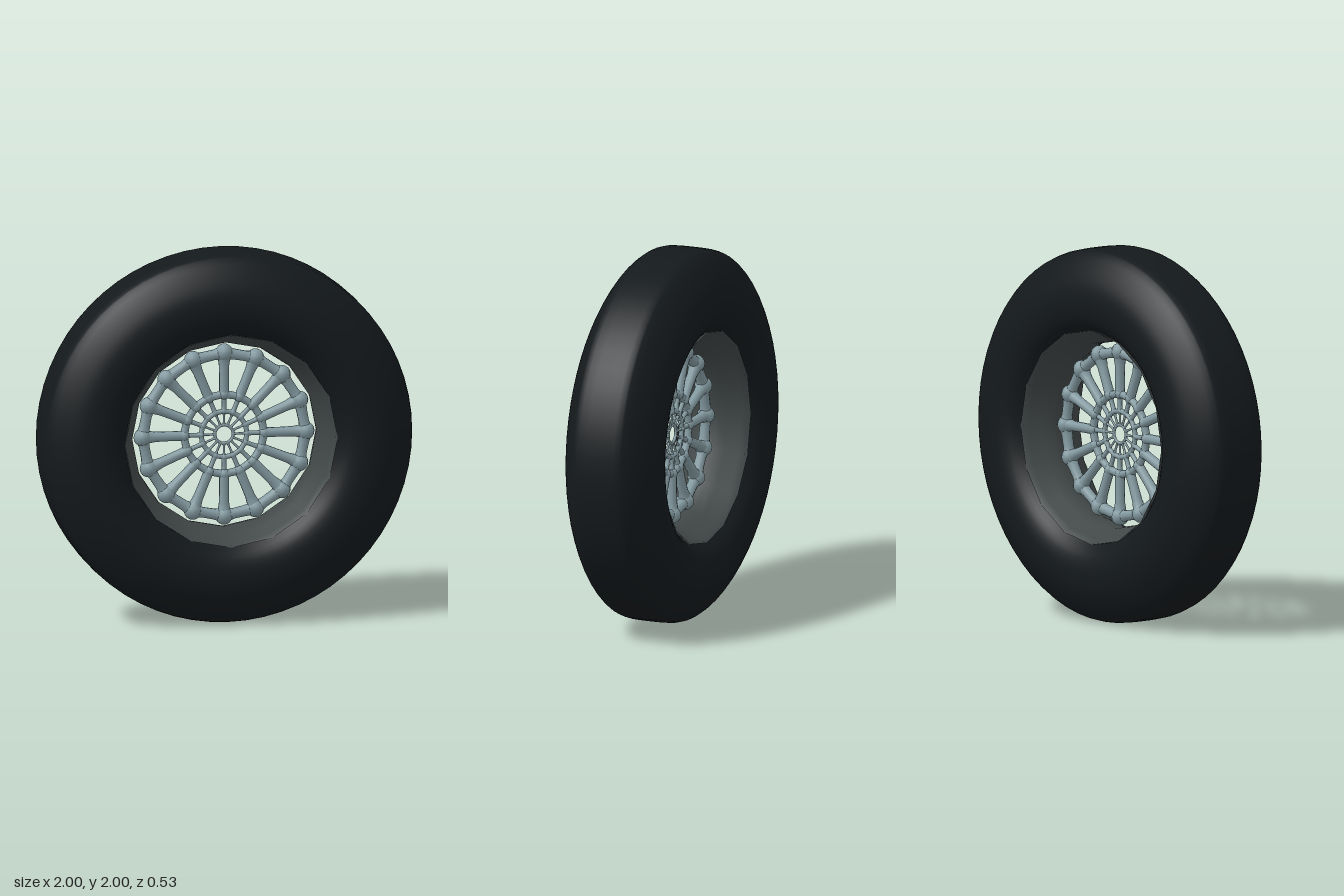
import * as THREE from 'three';

const SPOKES = 16;
const v2 = (a) => new THREE.Vector2(a[0], a[1]);

export function createModel() {
  const wheel = new THREE.Group();
  wheel.name = 'wheel';
  const rubber = new THREE.MeshStandardMaterial({ color: 0x14191c, side: THREE.DoubleSide });
  const darkMetal = new THREE.MeshStandardMaterial({ color: 0x414747, side: THREE.DoubleSide });
  const metal = new THREE.MeshStandardMaterial({ color: 0x849ba2 });

  const add = (parent, name, geometry, material) => {
    const mesh = new THREE.Mesh(geometry, material);
    mesh.name = name;
    parent.add(mesh);
    return mesh;
  };

  // Mirrors a half profile of [radius, depth] points and turns it about z
  const turned = (half, sides) => {
    const back = half.map(([r, z]) => [r, -z]);
    const front = half.slice().reverse().filter(([, z]) => z > 0);
    return new THREE.LatheGeometry([...back, ...front].map(v2), sides).rotateX(Math.PI / 2);
  };

  // Tyre: rounded sidewalls, sloping shoulders, flat tread
  const sidewall = new THREE.SplineCurve([
    [0.567, 0.185], [0.62, 0.235], [0.69, 0.261], [0.76, 0.264],
    [0.83, 0.248], [0.9, 0.212], [0.96, 0.168], [0.99, 0.13],
  ].map(v2)).getPoints(20).map((p) => [p.x, p.y]);
  add(wheel, 'tyre', turned([...sidewall, [0.998, 0.1], [1, 0.05], [1, 0]], 64), rubber);

  // Rim barrel: faceted, narrowest in the middle
  add(wheel, 'rim', turned([[0.577, 0.185], [0.575, 0.203], [0.558, 0.16],
    [0.525, 0.09], [0.505, 0.04], [0.5, 0]], SPOKES), darkMetal);

  // Strut from a to b: slim in the middle, flared at the joints
  const up = new THREE.Vector3(0, 1, 0);
  const strut = (parent, name, a, b, ra, mid, rb) => {
    const d = b.clone().sub(a);
    const h = d.length();
    const profile = [[ra, 0], [mid + (ra - mid) * 0.4, 0.14 * h], [mid, 0.32 * h],
      [mid * 1.05, 0.68 * h], [mid + (rb - mid) * 0.4, 0.86 * h], [rb, h]];
    const mesh = add(parent, name, new THREE.LatheGeometry(profile.map(v2), 10), metal);
    mesh.position.copy(a);
    mesh.quaternion.setFromUnitVectors(up, d.normalize());
  };

  // Web: four rings of joints, linked around and outwards
  const rings = [
    { r: 0.05, joint: 0.009, bar: 0.008, spoke: 0.006 },
    { r: 0.125, joint: 0.017, bar: 0.013, spoke: 0.012 },
    { r: 0.217, joint: 0.03, bar: 0.02, spoke: 0.026 },
    { r: 0.442, joint: 0.048, bar: 0.028 },
  ];
  const web = new THREE.Group();
  web.name = 'spokeWeb';
  wheel.add(web);
  const at = (r, i) => {
    const t = (i / SPOKES) * Math.PI * 2;
    return new THREE.Vector3(Math.cos(t) * r, Math.sin(t) * r, 0);
  };
  rings.forEach((ring, k) => {
    const next = rings[k + 1];
    for (let i = 0; i < SPOKES; i++) {
      const p = at(ring.r, i);
      add(web, 'joint', new THREE.SphereGeometry(ring.joint, 10, 8), metal).position.copy(p);
      strut(web, 'ringBar', p, at(ring.r, i + 1), ring.joint * 0.9, ring.bar, ring.joint * 0.9);
      if (next) strut(web, 'spoke', p, at(next.r, i), ring.joint * 0.9, ring.spoke, next.joint * 0.95);
    }
  });

  wheel.position.y = 1;
  const model = new THREE.Group();
  model.name = 'spokedWheel';
  model.add(wheel);
  return model;
}
